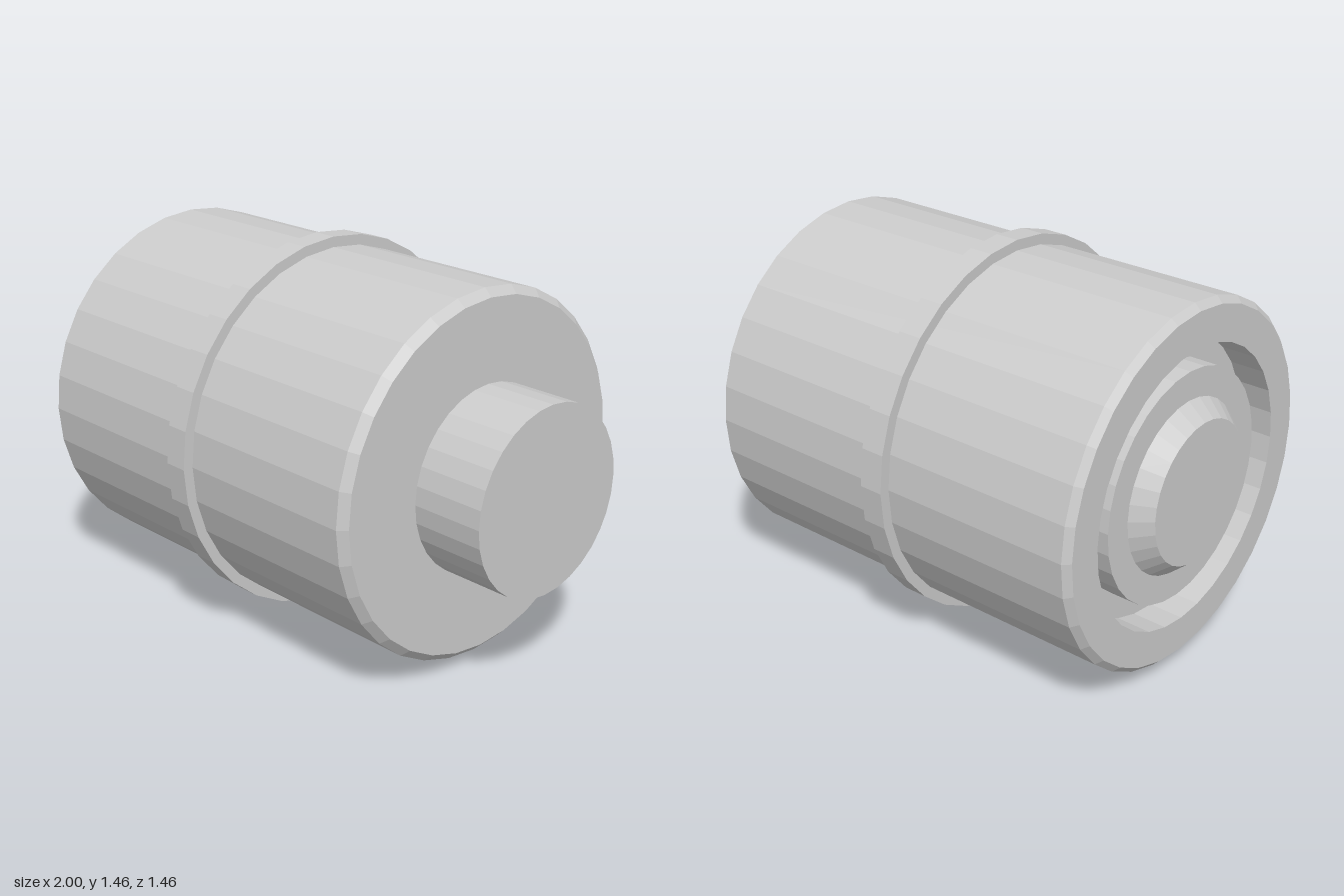
import * as THREE from 'three';

const SIDES = 32;
const RADIUS = 0.73;

export function createModel() {
  const group = new THREE.Group();
  const material = new THREE.MeshStandardMaterial({ color: 0xcccccc, flatShading: true });

  // Revolves [radius, x] points around the long x axis, listed from -x to +x
  const turned = (name, profile) => {
    const points = profile.map(([r, x]) => new THREE.Vector2(r, x));
    const geometry = new THREE.LatheGeometry(points, SIDES);
    geometry.rotateZ(-Math.PI / 2);
    const mesh = new THREE.Mesh(geometry, material);
    mesh.name = name;
    mesh.position.y = RADIUS;
    group.add(mesh);
  };

  // Chamfered drum with a round recess in its -x end
  turned('casing', [
    [0, -0.82], [0.53, -0.82], [0.53, -0.955], [0.665, -0.955], [0.69, -0.93],
    [0.69, 0.68], [0.66, 0.71], [0, 0.71],
  ]);

  // Raised band around the middle
  turned('collar', [
    [0.685, -0.17], [RADIUS, -0.17], [RADIUS, -0.075], [0.685, -0.075],
  ]);

  // Stepped hub with a tapered cap inside the recess
  turned('hub', [
    [0, -1], [0.27, -1], [0.33, -0.93], [0.44, -0.93], [0.44, -0.82],
  ]);

  // Plain shaft out of the +x end
  turned('shaft', [
    [0.352, 0.7], [0.352, 1], [0, 1],
  ]);

  return group;
}
